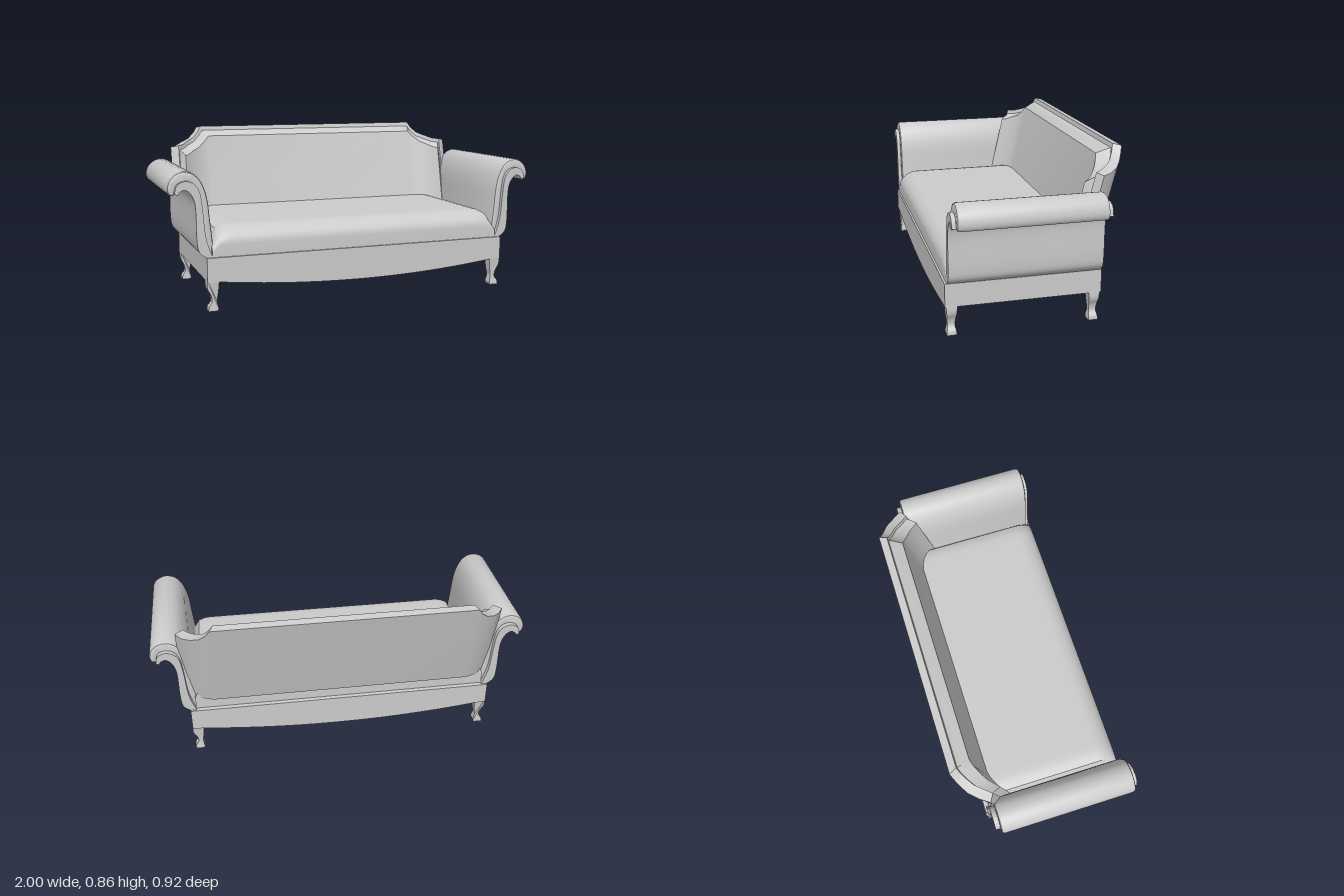
import * as THREE from 'three';
import { toCreasedNormals } from 'three/addons/utils/BufferGeometryUtils.js';

const material = new THREE.MeshStandardMaterial({ color: 0xcccccc, side: THREE.DoubleSide });

function part(name, geometry, crease = 0.6) {
  const mesh = new THREE.Mesh(toCreasedNormals(geometry, crease), material);
  mesh.name = name;
  return mesh;
}

// Smooth an open run of [x, y] points, mirrored by side
function smooth(points, side = 1, n = 28) {
  return new THREE.SplineCurve(points.map(([x, y]) => new THREE.Vector2(x * side, y))).getPoints(n);
}

// Extrude a shape from z0 to z1, with an optional inward bevel at both ends
function extrude(points, z0, z1, steps = 1, bevel = 0) {
  const g = new THREE.ExtrudeGeometry(new THREE.Shape(points), {
    depth: z1 - z0 - 2 * bevel, steps, bevelEnabled: bevel > 0, bevelSize: bevel,
    bevelThickness: bevel, bevelOffset: -bevel, bevelSegments: 2,
  });
  return g.translate(0, 0, z0 + bevel);
}

// Move every vertex by a rule
function reshape(g, rule) {
  const p = g.attributes.position, v = new THREE.Vector3();
  for (let i = 0; i < p.count; i++) {
    rule(v.fromBufferAttribute(p, i));
    p.setXYZ(i, v.x, v.y, v.z);
  }
  return g;
}

// Skin closed rings of [x, y, z] points and cap both ends
function loft(rings) {
  const n = rings[0].length, index = [];
  for (let r = 0; r < rings.length - 1; r++) {
    for (let k = 0; k < n; k++) {
      const a = r * n + k, b = r * n + (k + 1) % n;
      index.push(a, b, a + n, b, b + n, a + n);
    }
  }
  const last = (rings.length - 1) * n;
  for (let k = 1; k < n - 1; k++) index.push(0, k + 1, k, last, last + k, last + k + 1);
  const g = new THREE.BufferGeometry();
  g.setAttribute('position', new THREE.Float32BufferAttribute(rings.flat(2), 3));
  g.setIndex(index);
  return g;
}

function createBase() {
  const pts = [[-0.82, 0.27], [-0.82, 0.15], [-0.76, 0.148]];
  for (let i = 1; i < 20; i++) {
    const x = -0.76 + i * 0.076;
    pts.push([x, 0.102 + 0.046 * (x / 0.76) ** 2]);
  }
  pts.push([0.76, 0.148], [0.82, 0.15], [0.82, 0.27]);
  return part('base', extrude(pts.map(p => new THREE.Vector2(...p)), -0.325, 0.46));
}

function createSeat() {
  // Side profile with a rolled front edge, swept across the width
  const half = 0.79;
  const pts = [new THREE.Vector2(0.3, 0.26), new THREE.Vector2(0.3, 0.42)];
  for (let i = 0; i <= 10; i++) {
    const a = i / 10 * Math.PI / 2;
    pts.push(new THREE.Vector2(-0.34 - 0.11 * Math.sin(a), 0.33 + 0.09 * Math.cos(a)));
  }
  pts.push(new THREE.Vector2(-0.45, 0.26));
  const g = extrude(pts, -half, half, 48).rotateY(Math.PI / 2);
  // Extruded x now runs along -z; turn profile so its rolled edge faces the front
  return part('seatCushion', reshape(g, v => {
    const t = Math.max(0, (Math.abs(v.x) - 0.69) / (half - 0.69));
    const drop = 0.08 * (1 - Math.sqrt(Math.max(0, 1 - t * t)));
    v.y -= drop * Math.max(0, (v.y - 0.26) / 0.16);
  }));
}

// Plan rows from centre to wing tip: top height, then [x, forward shift]
// for the outer face, the frame front and the padding front
const rows = [
  [0.862, [0.68, 0], [0.66, 0], [0.63, 0]],
  [0.83, [0.70, 0.003], [0.68, 0.003], [0.66, 0.006]],
  [0.80, [0.735, 0.015], [0.71, 0.015], [0.695, 0.02]],
  [0.782, [0.78, 0.04], [0.75, 0.04], [0.735, 0.043]],
  [0.766, [0.82, 0.08], [0.785, 0.08], [0.765, 0.07]],
  [0.763, [0.855, 0.13], [0.815, 0.115], [0.785, 0.09]],
];
const plan = [
  ...rows.slice().reverse().map(([t, ...p]) => [t, ...p.map(([x, f]) => [-x, f])]),
  ...rows,
];
const outerZ = y => -0.33 - 0.25 * (y - 0.34);
const padZ = y => -0.26 - 0.22 * (y - 0.42);

function createBack() {
  const back = new THREE.Group();
  back.name = 'back';
  // Leaning shell with wings that wrap forward
  back.add(part('backFrame', loft(plan.map(([t, o, m]) => [
    [o[0], 0.34, outerZ(0.34) + o[1]],
    [o[0], t - 0.008, outerZ(t) + o[1]],
    [m[0], t, outerZ(t) + 0.04 + m[1]],
    [m[0], 0.345, outerZ(0.345) + 0.04 + m[1]],
  ]))));
  // Padding with a sloping top edge
  back.add(part('backPadding', loft(plan.map(([t, , m, p]) => [
    [m[0], 0.36, outerZ(0.36) + 0.03 + m[1]],
    [m[0], t - 0.018, outerZ(t) + 0.03 + m[1]],
    [m[0] * 0.6 + p[0] * 0.4, t - 0.03, outerZ(t) * 0.6 + padZ(t) * 0.4 + 0.025 + (m[1] + p[1]) / 2],
    [p[0], t - 0.052, padZ(t - 0.052) + p[1]],
    [p[0], 0.36, padZ(0.36) + p[1]],
  ]))));
  return back;
}

function createArm(side) {
  const arm = new THREE.Group();
  arm.name = side > 0 ? 'leftArm' : 'rightArm';
  // Scrolled frame
  const frame = [
    ...smooth([[0.82, 0.27], [0.856, 0.303], [0.866, 0.374], [0.868, 0.52], [0.886, 0.58],
      [0.915, 0.607], [0.94, 0.6], [0.952, 0.583]], side),
    ...smooth([[0.968, 0.59], [0.955, 0.632], [0.915, 0.65], [0.872, 0.635], [0.845, 0.59],
      [0.833, 0.5], [0.822, 0.38], [0.8, 0.3], [0.785, 0.265]], side),
  ];
  arm.add(part('armFrame', extrude(frame, -0.315, 0.45)));
  // Rolled padding on the inside and top
  const pad = [
    ...smooth([[0.78, 0.265], [0.78, 0.32], [0.793, 0.45], [0.803, 0.55], [0.825, 0.625],
      [0.86, 0.675], [0.91, 0.695], [0.955, 0.685], [0.988, 0.655], [1.0, 0.615],
      [0.992, 0.585], [0.972, 0.577]], side),
    ...smooth([[0.952, 0.592], [0.937, 0.62], [0.905, 0.63], [0.872, 0.605], [0.853, 0.55],
      [0.843, 0.45], [0.83, 0.32], [0.82, 0.265]], side, 20),
  ];
  arm.add(part('armPadding', extrude(pad, -0.29, 0.43, 1, 0.014)));
  return arm;
}

function createLeg(side, z) {
  // Curved outer face, kicked-out foot, waisted depth
  const pts = [
    ...smooth([[0.82, 0.16], [0.82, 0.115], [0.802, 0.08], [0.797, 0.045], [0.813, 0.022], [0.815, 0]], side, 14),
    ...smooth([[0.77, 0], [0.765, 0.015], [0.772, 0.05], [0.766, 0.09], [0.76, 0.16]], side, 10),
  ];
  const g = reshape(extrude(pts, -0.5, 0.5), v => {
    const width = v.y > 0.045 ? 0.036 + 0.02 * (v.y - 0.045) / 0.105 : 0.048 - 0.012 * Math.max(0, (v.y - 0.015) / 0.03);
    v.z = z + v.z * width;
  });
  return part((z > 0 ? 'front' : 'back') + (side > 0 ? 'Left' : 'Right') + 'Leg', g);
}

export function createModel() {
  const sofa = new THREE.Group();
  sofa.name = 'sofa';
  const seat = createSeat();
  seat.rotation.y = 0;
  sofa.add(createBase(), seat, createBack());
  for (const side of [-1, 1]) {
    sofa.add(createArm(side));
    for (const z of [0.427, -0.29]) sofa.add(createLeg(side, z));
  }
  return sofa;
}
